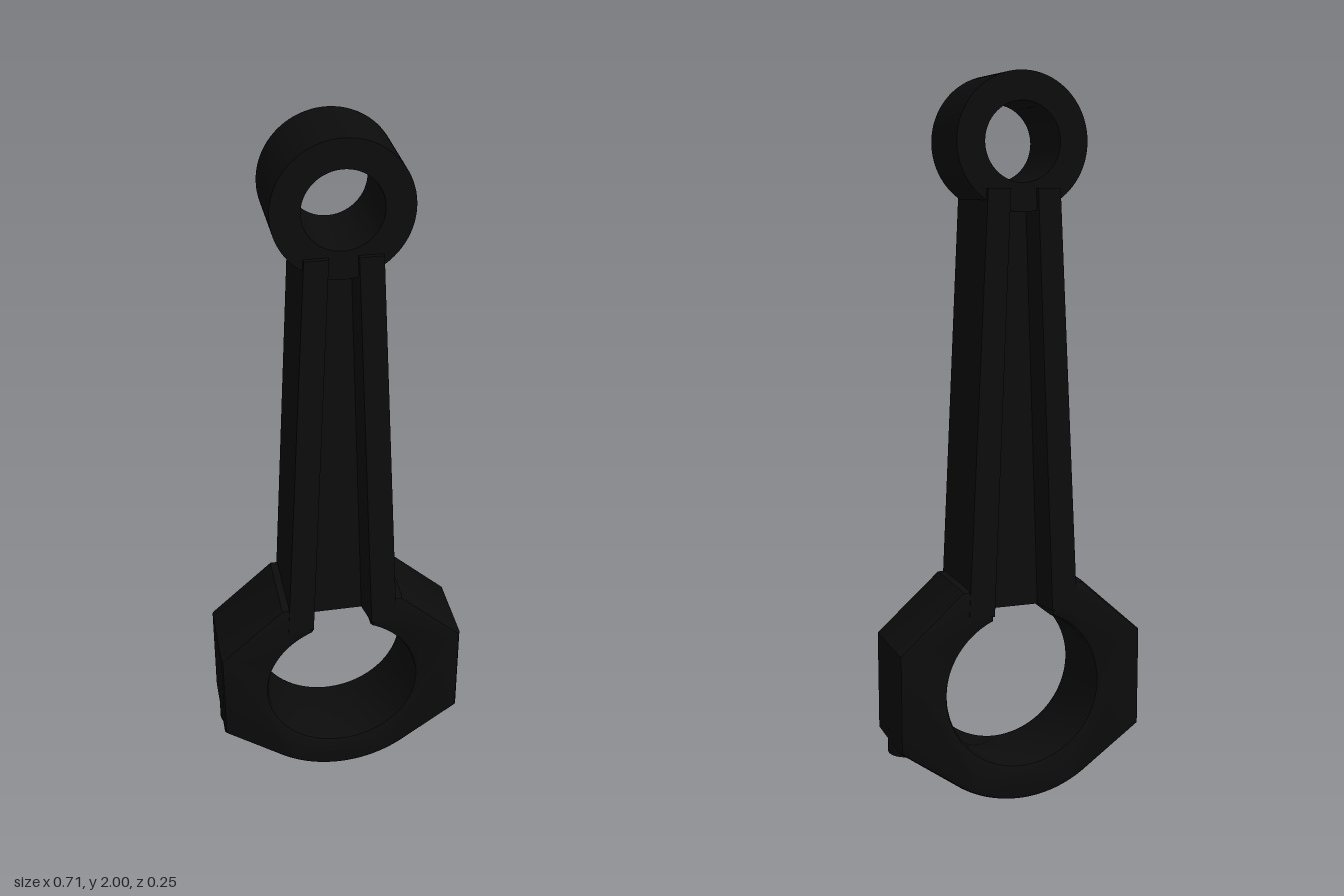
import * as THREE from 'three';
import { toCreasedNormals } from 'three/addons/utils/BufferGeometryUtils.js';

const steel = new THREE.MeshStandardMaterial({ color: 0x0c0c0c });
steel.name = 'black steel';

function part(name, geometry) {
  const flat = geometry.index ? geometry.toNonIndexed() : geometry;
  const mesh = new THREE.Mesh(toCreasedNormals(flat, 0.4), steel);
  mesh.name = name;
  return mesh;
}

// Small end: plain ring for the pin
function smallEnd() {
  const ring = new THREE.Shape().absarc(0, 1.82, 0.182, 0, Math.PI * 2, false);
  ring.holes.push(new THREE.Path().absarc(0, 1.82, 0.105, 0, Math.PI * 2, true));
  const g = new THREE.ExtrudeGeometry(ring, { depth: 0.224, bevelEnabled: false, curveSegments: 64 });
  return part('smallEnd', g.translate(0, 0, -0.112));
}

// Beam: H section extruded upward, then narrowed towards the small end
function beam() {
  const d = 0.125, y0 = 0.545, y1 = 1.7;
  const quarter = [[0.158, d], [0.085, d], [0.07, 0.045]];
  const front = [...quarter, ...quarter.map(([x, z]) => [-x, z]).reverse()];
  const back = front.map(([x, z]) => [-x, -z]);
  const section = new THREE.Shape([...front, ...back].map(([x, z]) => new THREE.Vector2(x, z)));
  const g = new THREE.ExtrudeGeometry(section, { depth: y1 - y0, bevelEnabled: false });
  g.rotateX(-Math.PI / 2);
  const p = g.attributes.position;
  for (let i = 0; i < p.count; i++) {
    const x = p.getX(i), t = p.getY(i) / (y1 - y0);
    const topScale = Math.abs(x) > 0.1 ? 0.64 : 0.45;
    p.setX(i, x * (1 + t * (topScale - 1)));
  }
  g.translate(0, y0, 0);
  return part('beam', g);
}

// Big end: bearing housing with shoulders, open at the top where the beam channel enters
function bigEnd() {
  const cy = 0.325, bore = 0.22, outer = 0.325, slot = 0.085, bevel = 0.015;
  const a = Math.acos(slot / bore), low = -0.95;
  const s = new THREE.Shape();
  s.moveTo(slot, cy + bore * Math.sin(a));
  s.lineTo(slot, 0.622);
  s.lineTo(0.175, 0.622);
  s.lineTo(0.355, 0.46);
  s.lineTo(0.355, 0.18);
  s.absarc(0, cy, outer, low, -Math.PI - low, true);
  s.lineTo(-0.355, 0.18);
  s.lineTo(-0.355, 0.46);
  s.lineTo(-0.175, 0.622);
  s.lineTo(-slot, 0.622);
  s.absarc(0, cy, bore, Math.PI - a, Math.PI * 2 + a, false);
  const g = new THREE.ExtrudeGeometry(s, {
    depth: 0.246 - 2 * bevel, bevelEnabled: true, bevelSize: bevel, bevelThickness: bevel,
    bevelOffset: -bevel, bevelSegments: 2, curveSegments: 64,
  });
  return part('bigEnd', g.translate(0, 0, -0.123 + bevel));
}

export function createModel() {
  const rod = new THREE.Group();
  rod.name = 'connectingRod';
  rod.add(smallEnd(), beam(), bigEnd());

  // Cap bolt heads below the shoulders
  for (const side of [1, -1]) {
    const bolt = part(side > 0 ? 'leftBoltHead' : 'rightBoltHead', new THREE.CylinderGeometry(0.055, 0.055, 0.07, 32));
    bolt.position.set(side * 0.302, 0.178, 0);
    rod.add(bolt);
  }
  return rod;
}
